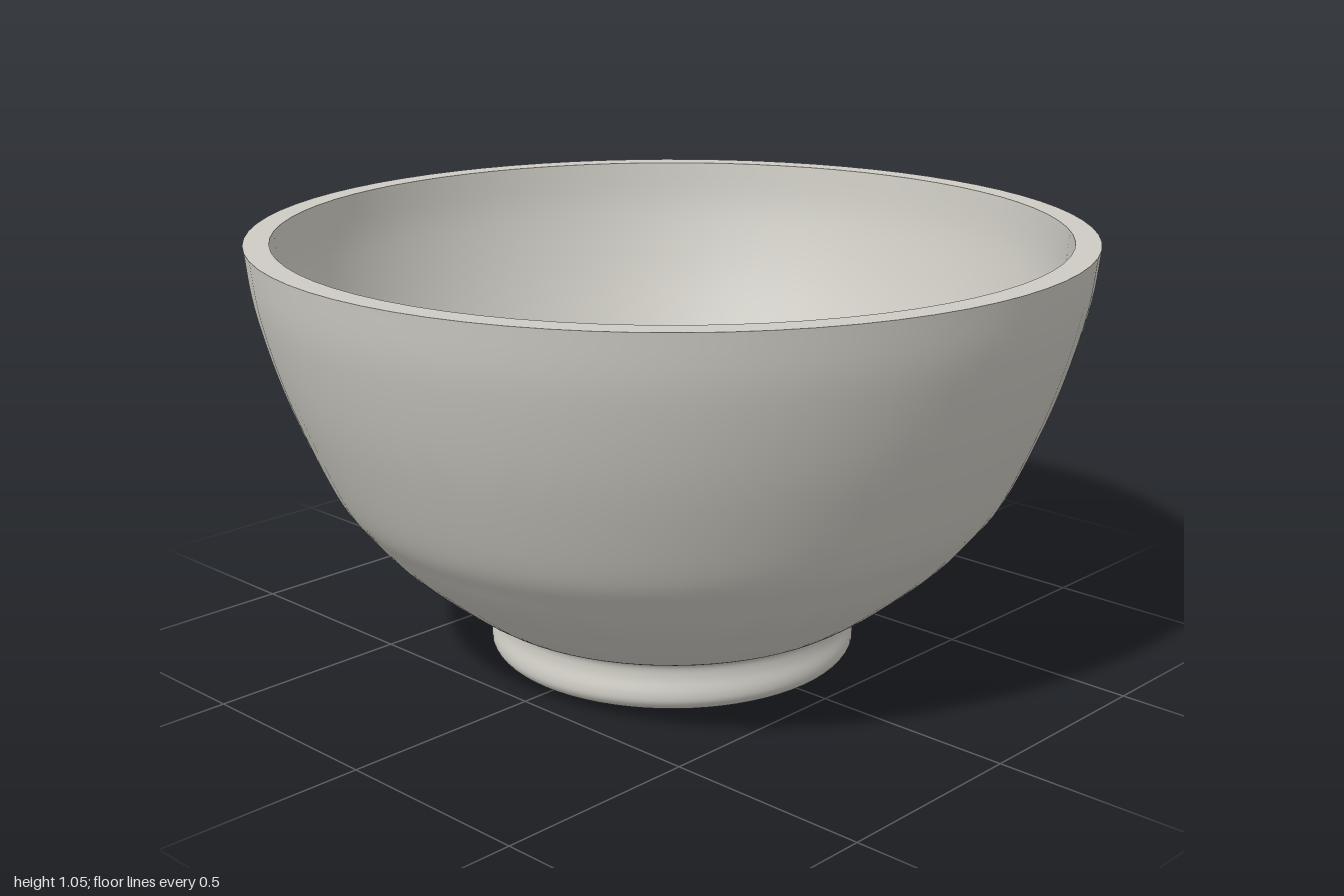
import * as THREE from 'three';

const SEGMENTS = 72;

export function createModel() {
  const model = new THREE.Group();
  model.name = 'bowl';
  const ceramic = new THREE.MeshStandardMaterial({ color: 0xcdcbc3 });
  ceramic.name = 'warm grey ceramic';

  const vectors = (pairs) => pairs.map(([r, y]) => new THREE.Vector2(r, y));
  // Smooth a profile through its radius/height points
  const smooth = (pairs, count) => new THREE.SplineCurve(vectors(pairs)).getPoints(count);

  function turn(name, points) {
    const mesh = new THREE.Mesh(new THREE.LatheGeometry(points, SEGMENTS), ceramic);
    mesh.name = name;
    model.add(mesh);
  }

  // Flat underside, rolled foot ring, pinched neck and flaring body
  turn('outerWallAndFoot', [
    new THREE.Vector2(0, 0),
    ...smooth([
      [0.38, 0], [0.425, 0.01], [0.447, 0.03], [0.45, 0.055], [0.441, 0.09],
      [0.441, 0.118], [0.456, 0.135], [0.49, 0.147], [0.57, 0.203], [0.69, 0.305],
      [0.76, 0.385], [0.82, 0.468], [0.89, 0.625], [0.942, 0.77], [0.984, 0.93], [1, 1.055],
    ], 75),
  ]);

  // Flat lip
  turn('rim', vectors([[1, 1.055], [0.94, 1.055]]));

  // Inside surface, dropping over a rounded shoulder into the foot
  turn('innerWall', smooth([
    [0.94, 1.055], [0.924, 0.935], [0.884, 0.79], [0.832, 0.65], [0.768, 0.505],
    [0.71, 0.425], [0.645, 0.35], [0.535, 0.257], [0.465, 0.206], [0.425, 0.187],
    [0.392, 0.16], [0.379, 0.125], [0.38, 0.095], [0.388, 0.06],
  ], 65));

  // Flat inside floor
  turn('innerFloor', vectors([[0.388, 0.06], [0, 0.06]]));

  return model;
}
